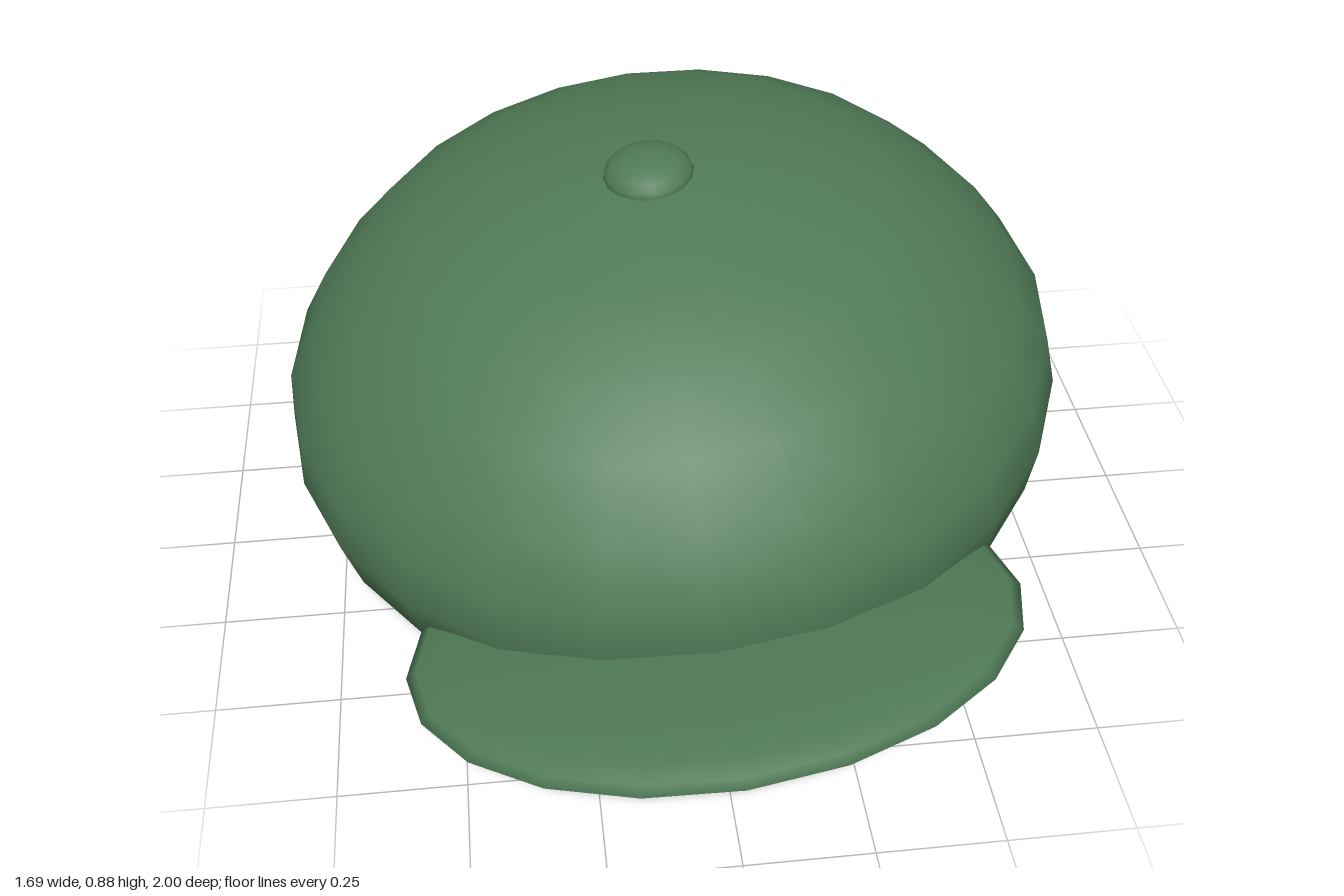
import * as THREE from 'three';

export function createModel() {
  const model = new THREE.Group();
  model.name = 'cap';
  const green = new THREE.MeshStandardMaterial({ color: 0x4f7a55 });
  green.name = 'cap green';

  const add = (parent, name, geometry) => {
    const mesh = new THREE.Mesh(geometry, green);
    mesh.name = name;
    parent.add(mesh);
    return mesh;
  };

  // Tilted crown: rounded dome with a closed flat underside
  const crown = new THREE.Group();
  crown.name = 'crown';
  crown.position.set(0.013, 0.097, -0.18);
  crown.rotation.set(0.1, 0, 0.09);
  model.add(crown);

  const profile = [
    [0, 0], [0.7, 0], [0.737, 0.002], [0.823, 0.075], [0.848, 0.2], [0.83, 0.317],
    [0.764, 0.427], [0.653, 0.547], [0.513, 0.637], [0.352, 0.693], [0.165, 0.735], [0, 0.747],
  ].map(([r, y]) => new THREE.Vector2(r, y));
  add(crown, 'dome', new THREE.LatheGeometry(profile, 24));

  // Flattened button on the crown
  const button = add(crown, 'button', new THREE.SphereGeometry(1, 16, 10));
  button.scale.set(0.095, 0.047, 0.095);
  button.position.y = 0.738;

  // Thin oval brim, raised slightly at the front
  const brim = add(model, 'brim', new THREE.SphereGeometry(1, 20, 12));
  brim.scale.set(0.617, 0.06, 0.433);
  brim.position.set(0.005, 0.168, 0.56);
  brim.rotation.set(-0.075, 0, 0.093);

  return model;
}
